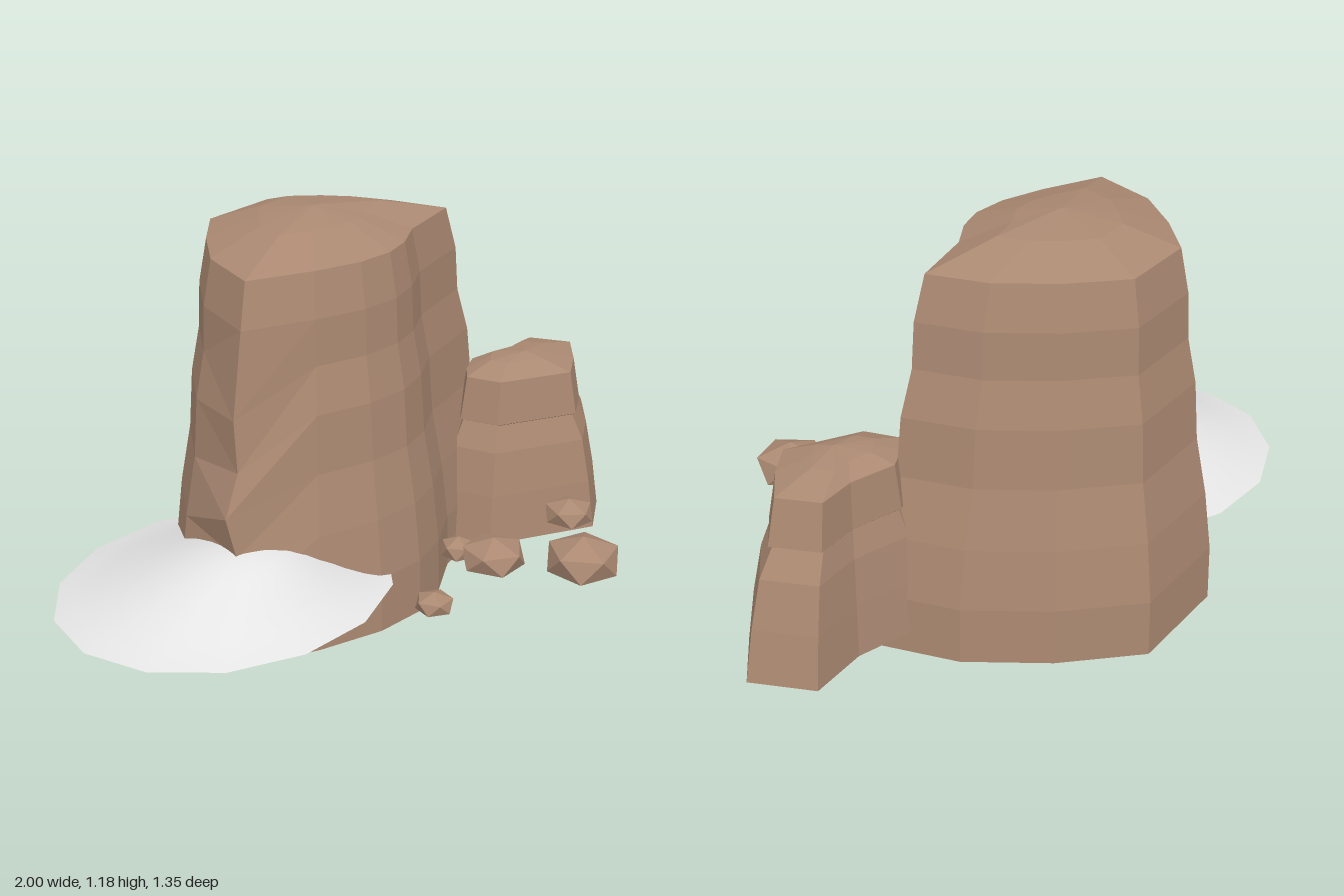
import * as THREE from 'three';

const rock = new THREE.MeshStandardMaterial({ color: 0xab8972, side: THREE.DoubleSide });
rock.name = 'brownRock';
const sand = new THREE.MeshStandardMaterial({ color: 0xe4e4e4, side: THREE.DoubleSide });
sand.name = 'paleMound';

// Faceted butte, open below: an outline scaled about a centre at each [height, scale] level
function butteGeometry(outline, [cx, cz], levels, apex, adjust = () => {}) {
  const n = outline.length;
  const pos = [];
  const index = [];
  levels.forEach(([y, s], k) => outline.forEach(([x, z], i) => {
    const p = new THREE.Vector3(cx + (x - cx) * s, y, cz + (z - cz) * s);
    adjust(p, i, k);
    pos.push(p.x, p.y, p.z);
  }));
  const top = levels.length * n;
  pos.push(...apex);
  for (let k = 0; k < levels.length; k++) {
    for (let i = 0; i < n; i++) {
      const j = (i + 1) % n;
      const a = k * n + i, b = k * n + j;
      if (k === levels.length - 1) index.push(a, b, top);
      else index.push(a, b, b + n, a, b + n, a + n);
    }
  }
  const g = new THREE.BufferGeometry();
  g.setAttribute('position', new THREE.Float32BufferAttribute(pos, 3));
  g.setIndex(index);
  const flat = g.toNonIndexed();
  flat.computeVertexNormals();
  return flat;
}

export function createModel() {
  const group = new THREE.Group();
  const add = (name, geometry, material) => {
    const mesh = new THREE.Mesh(geometry, material);
    mesh.name = name;
    group.add(mesh);
    return mesh;
  };

  // Large butte: outline of its upper rim, widening towards the ground
  const rim = [
    [-0.435, -0.068], [-0.25, 0.01], [-0.11, 0.05], [0.005, 0.053], [0.1, 0.022],
    [0.2, -0.04], [0.417, -0.1], [0.36, -0.27], [0.25, -0.42],
    [0.11, -0.55], [-0.135, -0.535], [-0.26, -0.415], [-0.375, -0.27],
  ];
  const levels = [
    [0, 1.41], [0.17, 1.4], [0.35, 1.33], [0.525, 1.225], [0.7, 1.185],
    [0.835, 1.1], [0.97, 1.08], [1.1, 1], [1.155, 0.5],
  ];
  // The left corner has a small notch under a ledge
  const notch = (p, i, k) => {
    if (i !== 0) return;
    if (k === 2) p.set(-0.553, 0.33, p.z);
    if (k === 3) p.set(-0.572, 0.45, p.z);
    if (k === 4) p.set(-0.515, 0.57, p.z);
    if (k === 5) p.set(-0.51, 0.72, p.z);
  };
  add('largeButte', butteGeometry(rim, [0, -0.25], levels, [-0.01, 1.18, -0.23], notch), rock);

  // Small butte: outline of its foot, with an overhanging upper band
  const foot = [
    [0.322, -0.02], [0.375, 0.138], [0.695, 0.297], [0.845, 0.2], [0.998, 0.06],
    [0.91, -0.118], [0.725, -0.1], [0.51, -0.148], [0.4, -0.09],
  ];
  const smallLevels = [
    [0.065, 1], [0.22, 0.925], [0.36, 0.83], [0.44, 0.7],
    [0.445, 0.74], [0.58, 0.66], [0.612, 0.33],
  ];
  add('smallButte', butteGeometry(foot, [0.6, 0.03], smallLevels, [0.62, 0.625, 0.06]), rock);

  // Smooth pale oval mound, its crest leaning to the front
  const profile = [
    [1, 0.172], [0.9, 0.186], [0.8, 0.204], [0.65, 0.237], [0.5, 0.274],
    [0.37, 0.305], [0.25, 0.327], [0.12, 0.341], [0, 0.345],
  ].map(([r, y]) => new THREE.Vector2(r, y));
  const moundGeometry = new THREE.LatheGeometry(profile, 14, Math.PI / 2).scale(0.52, 1, 0.452);
  const p = moundGeometry.attributes.position;
  for (let i = 0; i < p.count; i++) p.setZ(i, p.getZ(i) + (p.getY(i) - 0.172) * 0.65);
  moundGeometry.computeVertexNormals();
  add('mound', moundGeometry, sand).position.set(-0.48, 0, -0.137);

  // Loose boulders: squashed icosahedra standing on a point, [x, y, z, radius, half height, turn]
  const boulders = [
    [0.262, 0.225, 0.577, 0.105, 0.072, 0.61],
    [0.113, 0.217, 0.365, 0.093, 0.058, 1.0],
    [0.07, 0.22, 0.268, 0.05, 0.04, 0.6],
    [-0.205, 0.21, 0.417, 0.053, 0.036, 0.4],
    [0.483, 0.215, 0.357, 0.072, 0.047, 0.8],
  ];
  const tilt = -Math.atan(2 / (1 + Math.sqrt(5)));
  boulders.forEach(([x, y, z, r, h, turn], i) => {
    const g = new THREE.IcosahedronGeometry(1, 0).rotateZ(tilt).rotateY(turn);
    g.scale(r / 0.894, h, r / 0.894);
    g.computeVertexNormals();
    add('boulder' + (i + 1), g, rock).position.set(x, y, z);
  });

  return group;
}
